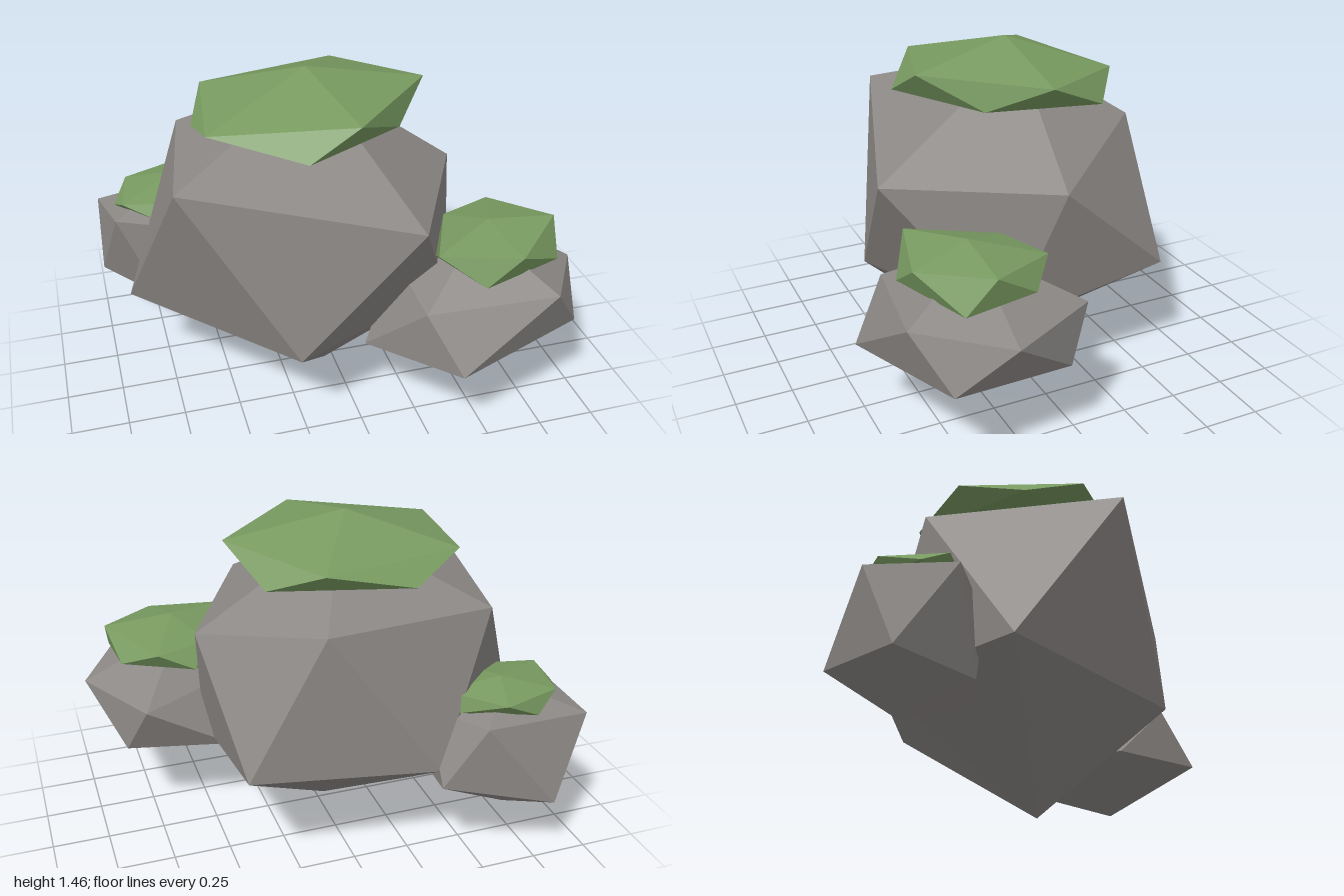
import * as THREE from 'three';

const rockGrey = new THREE.MeshStandardMaterial({ color: 0x8c8885 });
rockGrey.name = 'rockGrey';
const mossGreen = new THREE.MeshStandardMaterial({ color: 0x789a60 });
mossGreen.name = 'mossGreen';

// Irregular 20-sided lump: a peak, two staggered rings of five, and a foot.
// Rings run from +x towards +z; lower[i] sits between upper[i] and upper[i + 1].
function lump(name, material, top, upper, lower, foot) {
  const positions = [];
  const face = (...corners) => corners.forEach((p) => positions.push(...p));
  for (let i = 0; i < 5; i++) {
    const j = (i + 1) % 5;
    face(top, upper[j], upper[i]);
    face(upper[i], upper[j], lower[i]);
    face(lower[i], upper[j], lower[j]);
    face(foot, lower[i], lower[j]);
  }
  const geometry = new THREE.BufferGeometry();
  geometry.setAttribute('position', new THREE.Float32BufferAttribute(positions, 3));
  geometry.computeVertexNormals(); // unshared corners give flat facets
  const mesh = new THREE.Mesh(geometry, material);
  mesh.name = name;
  return mesh;
}

export function createModel() {
  const model = new THREE.Group();
  model.name = 'mossyRocks';

  // Main boulder and its moss cap
  model.add(lump('mainBoulder', rockGrey, [-0.05, 1.4, -0.12],
    [[0.22, 0.99, 0.63], [-0.73, 1.15, 0.33], [-0.6, 1.1, -0.47], [0.15, 1.11, -0.56], [0.565, 0.97, -0.05]],
    [[-0.28, 0.41, 0.55], [-0.91, 0.43, -0.12], [-0.33, 0.46, -0.64], [0.485, 0.52, -0.57], [0.5, 0.4, 0.18]],
    [-0.04, 0, 0.03]));
  model.add(lump('mainMoss', mossGreen, [-0.09, 1.46, -0.08],
    [[0.43, 1.37, -0.05], [0.02, 1.37, 0.38], [-0.57, 1.32, 0.19], [-0.5, 1.33, -0.34], [0.13, 1.33, -0.48]],
    [[0.25, 1.25, 0.17], [-0.2, 1.25, 0.41], [-0.59, 1.26, -0.06], [-0.24, 1.25, -0.51], [0.33, 1.24, -0.33]],
    [-0.07, 1.13, -0.06]));

  // Small boulder at the front
  model.add(lump('frontBoulder', rockGrey, [0.56, 0.82, 0.36],
    [[1, 0.61, 0.375], [0.78, 0.66, 0.73], [0.23, 0.61, 0.64], [0.22, 0.65, 0.25], [0.79, 0.61, -0.025]],
    [[0.935, 0.43, 0.61], [0.345, 0.38, 0.8], [0.04, 0.34, 0.41], [0.42, 0.39, -0.02], [0.87, 0.39, 0.085]],
    [0.535, 0.19, 0.43]));
  model.add(lump('frontMoss', mossGreen, [0.58, 0.88, 0.4],
    [[0.885, 0.855, 0.41], [0.64, 0.82, 0.65], [0.3, 0.835, 0.56], [0.46, 0.81, 0.2], [0.7, 0.81, 0.11]],
    [[0.86, 0.71, 0.53], [0.48, 0.71, 0.66], [0.34, 0.75, 0.42], [0.54, 0.73, 0.09], [0.845, 0.74, 0.23]],
    [0.58, 0.67, 0.39]));

  // Small boulder at the back
  model.add(lump('backBoulder', rockGrey, [-0.67, 0.77, -0.5],
    [[-0.35, 0.66, -0.45], [-0.58, 0.66, -0.22], [-0.93, 0.7, -0.32], [-0.985, 0.64, -0.67], [-0.486, 0.68, -0.735]],
    [[-0.37, 0.35, -0.3], [-0.76, 0.305, -0.25], [-1, 0.325, -0.545], [-0.79, 0.305, -0.8], [-0.31, 0.415, -0.7]],
    [-0.695, 0.165, -0.53]));
  model.add(lump('backMoss', mossGreen, [-0.63, 0.81, -0.53],
    [[-0.39, 0.76, -0.5], [-0.57, 0.76, -0.29], [-0.89, 0.76, -0.36], [-0.845, 0.76, -0.63], [-0.57, 0.77, -0.73]],
    [[-0.45, 0.7, -0.36], [-0.76, 0.7, -0.3], [-0.92, 0.71, -0.465], [-0.73, 0.69, -0.7], [-0.43, 0.69, -0.58]],
    [-0.65, 0.65, -0.5]));

  return model;
}
